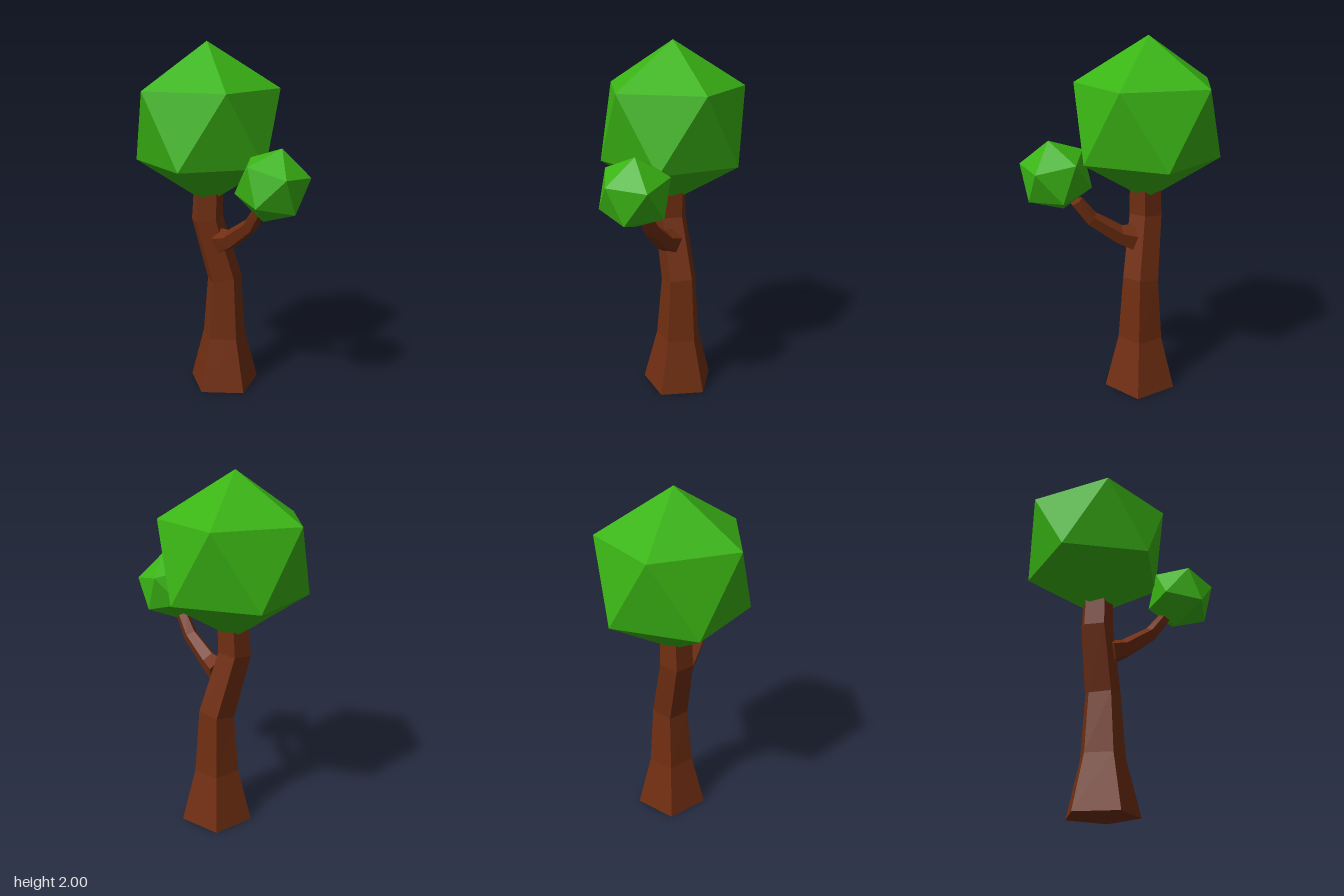
import * as THREE from 'three';
import { ConvexGeometry } from 'three/addons/geometries/ConvexGeometry.js';

const V = (x, y, z) => new THREE.Vector3(x, y, z);
const bark = new THREE.MeshStandardMaterial({ color: 0x702e11, flatShading: true });
const leaf = new THREE.MeshStandardMaterial({ color: 0x3ab414, flatShading: true });

// Regular polygon of n points around an axis, the first one towards ref
function ring(centre, radius, axis, ref, n = 5, turn = 0) {
  const up = axis.clone().normalize();
  const u = ref.clone().addScaledVector(up, -ref.dot(up)).normalize();
  const v = up.clone().cross(u);
  return Array.from({ length: n }, (_, i) => {
    const a = turn + (i / n) * Math.PI * 2;
    return centre.clone()
      .addScaledVector(u, radius * Math.cos(a))
      .addScaledVector(v, radius * Math.sin(a));
  });
}

// Five-sided limb skinned over rings of [centre, radius, axis], capped at both ends
function limb(name, sections, ref) {
  const n = 5;
  const points = sections.flatMap(([c, r, axis]) => ring(c, r, axis, ref, n));
  const index = [];
  for (let s = 0; s < sections.length - 1; s++) {
    for (let i = 0; i < n; i++) {
      const a = s * n + i, b = s * n + (i + 1) % n;
      index.push(a, b, b + n, a, b + n, a + n);
    }
  }
  const last = (sections.length - 1) * n;
  for (let i = 1; i < n - 1; i++) {
    index.push(0, i + 1, i, last, last + i, last + i + 1);
  }
  const geometry = new THREE.BufferGeometry().setFromPoints(points);
  geometry.setIndex(index);
  const flat = geometry.toNonIndexed();
  flat.computeVertexNormals();
  const mesh = new THREE.Mesh(flat, bark);
  mesh.name = name;
  return mesh;
}

// Icosahedron with one corner along axis and the upper ring starting towards ref
function foliage(name, centre, radius, axis, ref) {
  const up = axis.clone().normalize();
  const at = (k) => centre.clone().addScaledVector(up, radius * k);
  const h = 1 / Math.sqrt(5);
  const geometry = new ConvexGeometry([
    at(1), at(-1),
    ...ring(at(h), radius * 2 * h, up, ref),
    ...ring(at(-h), radius * 2 * h, up, ref, 5, Math.PI / 5),
  ]);
  const mesh = new THREE.Mesh(geometry, leaf);
  mesh.name = name;
  return mesh;
}

export function createModel() {
  const tree = new THREE.Group();
  tree.name = 'tree';

  // Trunk flares at the foot and bends to the right part-way up
  tree.add(limb('trunk', [
    [V(0.015, 0, -0.09), 0.21, V(0, 1, 0)],
    [V(0.015, 0.31, -0.09), 0.13, V(0, 1, 0)],
    [V(0.015, 0.665, -0.092), 0.104, V(-0.2, 1, 0)],
    [V(-0.083, 1.02, -0.082), 0.094, V(-0.12, 1, 0)],
    [V(-0.075, 1.18, -0.082), 0.09, V(-0.06, 1, 0.02)],
  ], V(0, 0, -1)));

  // Side branch curves out of the trunk and up to the small crown
  tree.add(limb('branch', [
    [V(0.005, 0.9, -0.035), 0.075, V(1, 0.35, 1)],
    [V(0.06, 0.93, 0.03), 0.055, V(1, 0.7, 1)],
    [V(0.165, 1.04, 0.145), 0.043, V(0.8, 1, 0.8)],
    [V(0.213, 1.145, 0.208), 0.037, V(0.4, 1, 0.45)],
  ], V(0, 1, 0)));

  // Leaf crowns
  tree.add(foliage('largeCrown', V(-0.08, 1.553, -0.09), 0.447, V(0, 1, 0), V(1, 0, 0)));
  tree.add(foliage('smallCrown', V(0.28, 1.296, 0.29), 0.2, V(0.045, 0.195, 0.015), V(0.195, 0.05, 0.015)));

  return tree;
}
